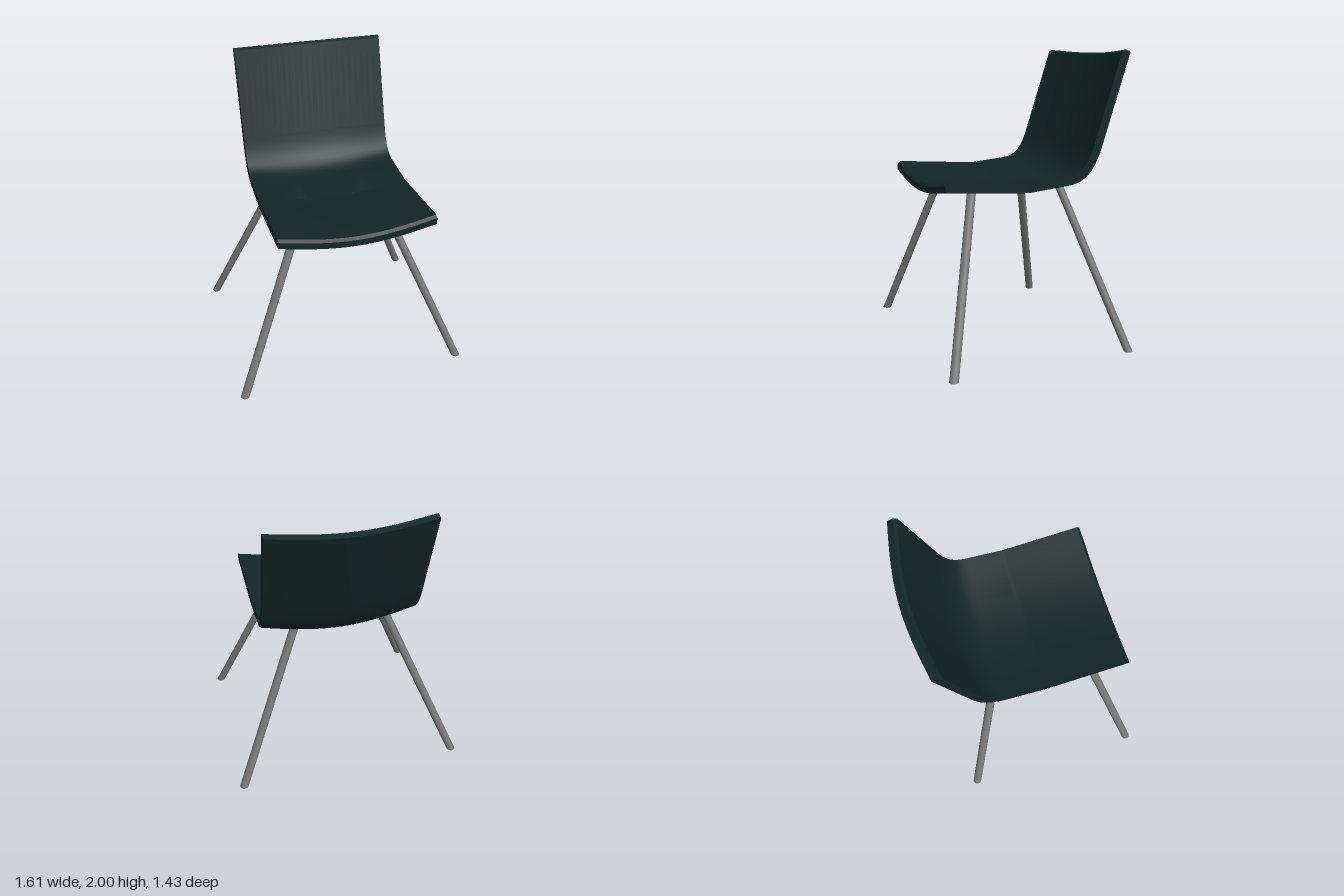
import * as THREE from 'three';
import { toCreasedNormals } from 'three/addons/utils/BufferGeometryUtils.js';

const shellMaterial = new THREE.MeshStandardMaterial({ color: 0x122626 });
const legMaterial = new THREE.MeshStandardMaterial({ color: 0x777777 });

const THICKNESS = 0.06, SAG = 0.068, BEVEL = 0.018;
const CENTRE_X = 0.03, HALF_WIDTH = 0.53, COLUMNS = 24;

// Side profile of the upper face (z, y), from the front lip to the top of the back
function profilePoints() {
  const path = new THREE.Path();
  path.moveTo(0.64, 1.197);
  path.lineTo(0.08, 1.156);
  path.quadraticCurveTo(0.06, 1.153, 0.04, 1.157);
  path.lineTo(-0.2, 1.18);
  path.bezierCurveTo(-0.3, 1.19, -0.35, 1.24, -0.4, 1.39);
  path.lineTo(-0.6, 2.005);
  return path.getPoints(10);
}

// Closed outline of the shell: each entry has a point, a normal and a depth along it
function shellRing() {
  const pts = profilePoints();
  const last = pts.length - 1;
  const samples = pts.map((p, i) => {
    const tangent = pts[Math.min(i + 1, last)].clone().sub(pts[Math.max(i - 1, 0)]).normalize();
    return { p, tangent, normal: new THREE.Vector2(-tangent.y, tangent.x) };
  });
  const entry = (s, depth, slide = 0) => ({
    p: s.p.clone().addScaledVector(s.tangent, slide), normal: s.normal, depth,
  });
  const upper = samples.map((s, i) => entry(s, 0, i === 0 ? BEVEL : i === last ? -BEVEL : 0));
  const lower = samples.map((s) => entry(s, THICKNESS)).reverse();
  return [entry(samples[0], BEVEL), ...upper, entry(samples[last], BEVEL), ...lower];
}

// Sweep the outline across the width, sagging along its normals towards the middle
function shellGeometry() {
  const ring = shellRing();
  const M = ring.length;
  const positions = [], index = [];
  for (let j = 0; j <= COLUMNS; j++) {
    const u = (2 * j) / COLUMNS - 1;
    const sag = SAG * Math.cos((u * Math.PI) / 2);
    for (const { p, normal, depth } of ring) {
      const q = p.clone().addScaledVector(normal, depth + sag);
      positions.push(CENTRE_X + u * HALF_WIDTH, q.y, q.x);
    }
  }
  for (let j = 0; j < COLUMNS; j++) {
    for (let k = 0; k < M; k++) {
      const n = (k + 1) % M;
      const a = j * M + k, b = (j + 1) * M + k, c = (j + 1) * M + n, d = j * M + n;
      index.push(a, b, c, a, c, d);
    }
  }
  // Side edges
  const contour = ring.map((e) => e.p.clone().addScaledVector(e.normal, e.depth));
  const end = COLUMNS * M;
  for (const [a, b, c] of THREE.ShapeUtils.triangulateShape(contour, [])) {
    index.push(a, b, c, end + a, end + c, end + b);
  }
  const geometry = new THREE.BufferGeometry();
  geometry.setAttribute('position', new THREE.Float32BufferAttribute(positions, 3));
  geometry.setIndex(index);
  return toCreasedNormals(geometry, 0.5);
}

// Splayed leg, sheared so that its foot lies flat on the floor
function legGeometry(foot, top) {
  const height = top.y - foot.y;
  const geometry = new THREE.CylinderGeometry(0.03, 0.03, height, 24);
  geometry.translate(0, height / 2, 0);
  const shear = new THREE.Matrix4().set(
    1, (top.x - foot.x) / height, 0, foot.x,
    0, 1, 0, foot.y,
    0, (top.z - foot.z) / height, 1, foot.z,
    0, 0, 0, 1,
  );
  return geometry.applyMatrix4(shear);
}

export function createModel() {
  const chair = new THREE.Group();
  chair.name = 'chair';

  const shell = new THREE.Mesh(shellGeometry(), shellMaterial);
  shell.name = 'seatShell';
  chair.add(shell);

  for (const [end, footZ, topZ] of [['front', 0.68, 0.38], ['back', -0.565, -0.26]]) {
    for (const [side, s] of [['Left', 1], ['Right', -1]]) {
      const foot = new THREE.Vector3(0.775 * s, 0, footZ);
      const top = new THREE.Vector3(0.32 * s, 1.085, topZ);
      const leg = new THREE.Mesh(legGeometry(foot, top), legMaterial);
      leg.name = `${end}${side}Leg`;
      chair.add(leg);
    }
  }
  return chair;
}
